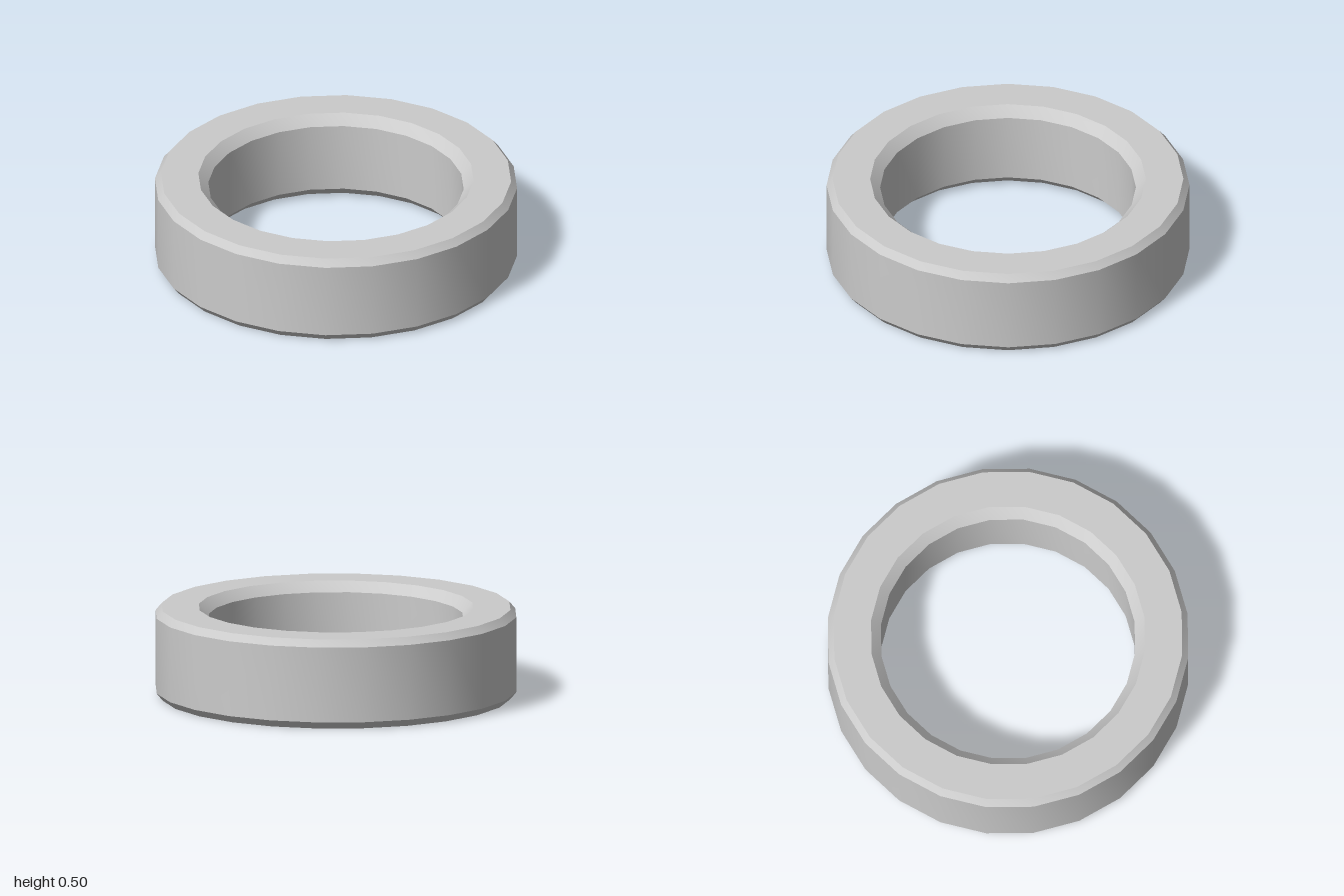
import * as THREE from 'three';
import { toCreasedNormals } from 'three/addons/utils/BufferGeometryUtils.js';

export function createModel() {
  const group = new THREE.Group();
  group.name = 'bevelledRing';

  // Closed cross-section [radius, height] with a bevel at each corner
  const height = 0.5;
  const profile = [
    [0.76, 0], [0.967, 0], [1, 0.04],
    [1, height - 0.04], [0.967, height], [0.76, height],
    [0.705, height - 0.055], [0.705, 0.055], [0.76, 0],
  ].map(([r, y]) => new THREE.Vector2(r, y));

  // Smooth around the ring, sharp at the bevel edges
  const geometry = toCreasedNormals(new THREE.LatheGeometry(profile, 24), Math.PI / 6);
  const ring = new THREE.Mesh(geometry, new THREE.MeshStandardMaterial({ color: 0xcccccc }));
  ring.name = 'ring';
  group.add(ring);
  return group;
}
